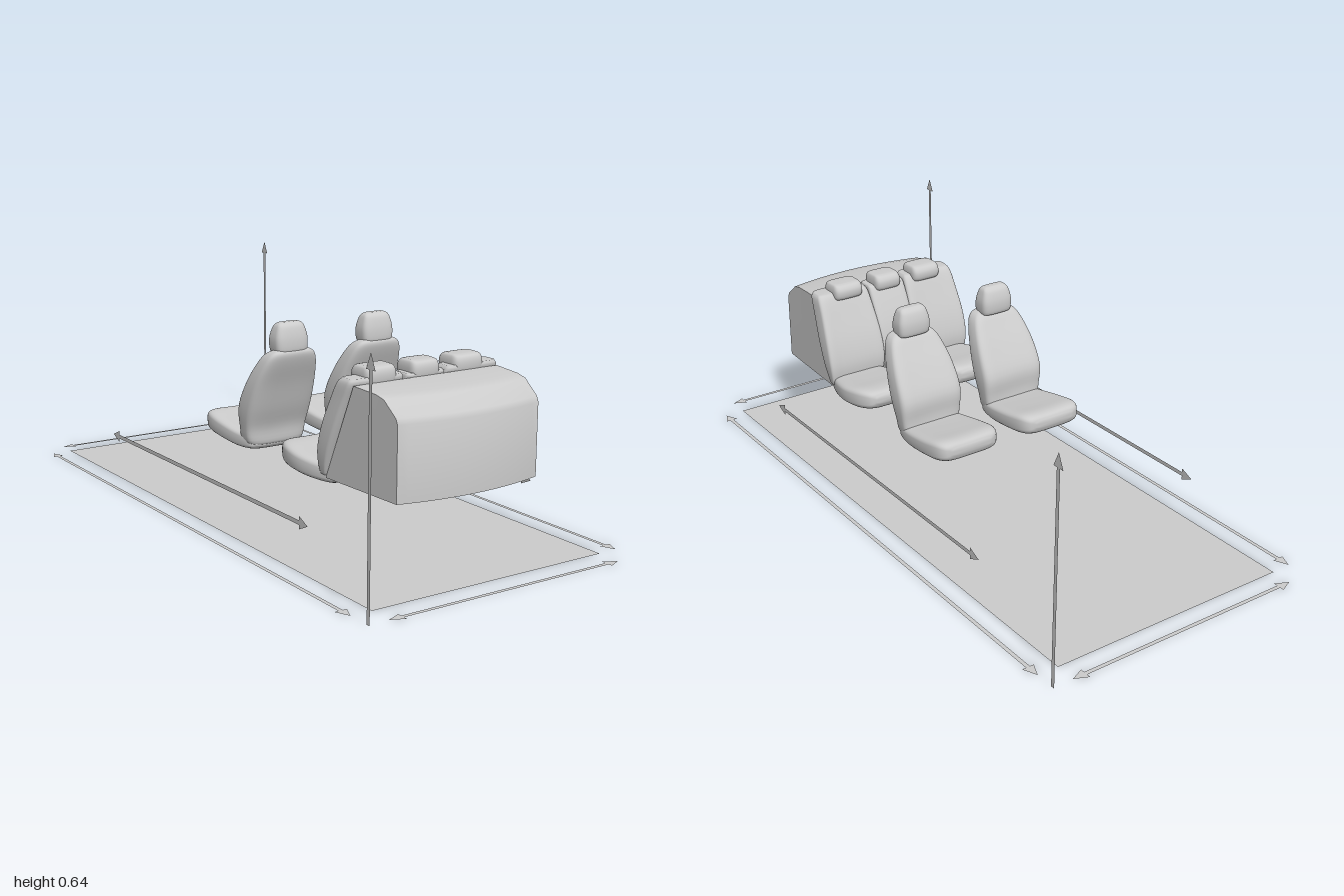
import * as THREE from 'three';
import { toCreasedNormals } from 'three/addons/utils/BufferGeometryUtils.js';

const mat = new THREE.MeshStandardMaterial({ color: 0xcccccc });
const thin = new THREE.MeshStandardMaterial({ color: 0xcccccc, side: THREE.DoubleSide });

function mesh(name, geometry, material = mat) {
  const m = new THREE.Mesh(geometry, material);
  m.name = name;
  return m;
}

// Closed skin over equal-sized rings of [x, y, z], capped at both ends
function loft(rings) {
  const n = rings[0].length, last = rings.length - 1;
  const pos = rings.flat(2), idx = [];
  for (const r of [rings[0], rings[last]])
    for (let k = 0; k < 3; k++) pos.push(r.reduce((s, p) => s + p[k], 0) / n);
  const c0 = rings.length * n, c1 = c0 + 1;
  for (let i = 0; i < n; i++) {
    const j = (i + 1) % n;
    for (let r = 0; r < last; r++) {
      const a = r * n, b = a + n;
      idx.push(a + i, b + i, a + j, a + j, b + i, b + j);
    }
    idx.push(c0, i, j, c1, last * n + j, last * n + i);
  }
  const g = new THREE.BufferGeometry();
  g.setAttribute('position', new THREE.Float32BufferAttribute(pos, 3));
  g.setIndex(idx);
  g.computeVertexNormals();
  return g;
}

// Upholstered pad from rows [position, low, high, halfWidth].
// Upright pads run up y with low/high in z; flat pads run along -z with low/high in y.
function pad(rows, { upright = true, power = 0.5, dish = 0 } = {}) {
  const path = new THREE.CatmullRomCurve3(rows.map(r => new THREE.Vector3(r[0], r[1], r[2])), false, 'catmullrom', 0.5);
  const wide = new THREE.CatmullRomCurve3(rows.map(r => new THREE.Vector3(r[3], 0, 0)), false, 'catmullrom', 0.5);
  const steps = (rows.length - 1) * 4, n = 40, rings = [];
  const soft = v => Math.sign(v) * Math.abs(v) ** power;
  for (let s = 0; s <= steps; s++) {
    const p = path.getPoint(s / steps), hw = wide.getPoint(s / steps).x;
    const mid = (p.y + p.z) / 2, half = (p.z - p.y) / 2;
    const sink = dish * Math.sin(Math.PI * s / steps);
    rings.push(Array.from({ length: n }, (_, i) => {
      const a = i / n * Math.PI * 2, u = soft(Math.cos(a)), v = soft(Math.sin(a));
      const hollow = sink * (1 - u * u) * (upright ? Math.max(0, -v) : -Math.max(0, v));
      const w = mid + half * v + hollow;
      return upright ? [u * hw, p.x, w] : [u * hw, w, p.x];
    }));
  }
  return loft(rings);
}

function frontSeat() {
  const seat = new THREE.Group();
  seat.add(
    mesh('seatCushion', pad([[.075, .205, .225, .07], [.06, .193, .24, .09], [0, .19, .25, .102], [-.08, .197, .264, .107],
      [-.14, .203, .274, .103], [-.17, .213, .268, .088], [-.18, .232, .25, .062]], { upright: false, dish: .008 })),
    mesh('seatBack', pad([[.205, .035, .07, .06], [.215, .015, .08, .09], [.26, .012, .086, .1], [.32, .01, .11, .105],
      [.39, .045, .135, .1], [.45, .085, .16, .086], [.48, .11, .168, .07], [.493, .135, .16, .045]], { dish: .014 })),
    mesh('headrest', pad([[.478, .115, .155, .042], [.487, .102, .165, .05], [.52, .1, .165, .052], [.55, .108, .158, .045],
      [.562, .118, .15, .038], [.566, .125, .142, .028]])));
  return seat;
}

function rearHeadrest(hw) {
  return mesh('rearHeadrest', pad([[.462, .51, .56, hw * .8], [.472, .49, .57, hw * .97], [.495, .486, .572, hw],
    [.511, .495, .566, hw * .92], [.516, .51, .55, hw * .75]], { power: .4 }));
}

// Flat arrow along +x, centred, with one or two heads
function arrow(name, length, doubleHeaded) {
  const h = length / 2, w = .006, hw = .018, hl = .04;
  const tail = doubleHeaded ? [[-h + hl, -w], [-h + hl, -hw], [-h, 0], [-h + hl, hw], [-h + hl, w]] : [[-h, -w], [-h, w]];
  const pts = [[h - hl, w], [h - hl, hw], [h, 0], [h - hl, -hw], [h - hl, -w], ...tail];
  return mesh(name, new THREE.ShapeGeometry(new THREE.Shape(pts.map(p => new THREE.Vector2(...p)))), thin);
}

export function createModel() {
  const model = new THREE.Group();
  model.name = 'cabinLayout';

  // Floor
  const floor = mesh('floor', new THREE.PlaneGeometry(.74, 1.715).rotateX(-Math.PI / 2), thin);
  floor.position.z = -.012;
  model.add(floor);

  // Luggage box with bowed rear face
  const profile = [[.455, .21], [.775, .21], [.775, .41], [.768, .425], [.72, .463], [.69, .47], [.57, .475]];
  const rings = [];
  for (let i = 0; i <= 16; i++) {
    const u = i / 8 - 1;
    rings.push(profile.map(([z, y]) => {
      const f = (z - .455) / .32;
      return [u * (.238 - .012 * f), y, z - (z > .6 ? .03 * u * u : 0)];
    }));
  }
  model.add(mesh('luggageBox', toCreasedNormals(loft(rings), .5)));

  for (const s of [-1, 1]) {
    const side = s > 0 ? 'left' : 'right';

    // Front seats
    const seat = frontSeat();
    seat.name = side + 'FrontSeat';
    seat.position.x = s * .146;
    model.add(seat);

    // Outer places of the rear bench
    const outer = new THREE.Group();
    outer.name = side + 'RearSeat';
    outer.add(
      mesh('rearCushion', pad([[.475, .2, .225, .065], [.455, .19, .245, .08], [.4, .19, .255, .098], [.34, .195, .264, .107],
        [.28, .2, .272, .1], [.24, .21, .268, .08], [.226, .23, .25, .055]], { upright: false, dish: .008 })),
      mesh('rearBack', pad([[.215, .44, .455, .08], [.225, .43, .462, .09], [.28, .424, .485, .098], [.35, .44, .515, .098],
        [.43, .474, .549, .092], [.475, .498, .568, .088], [.49, .515, .566, .08]], { power: .35, dish: .012 })));
    outer.position.x = s * .155;
    const rest = rearHeadrest(.049);
    rest.position.x = -s * .013;
    outer.add(rest);
    model.add(outer);

    // Length and wheelbase arrows
    const len = arrow('lengthArrow', 1.71, true);
    len.rotation.set(-Math.PI / 2, 0, Math.PI / 2);
    len.position.set(s * .43, 0, -.012);
    const base = arrow('wheelbaseArrow', 1.1, true);
    base.rotation.y = Math.PI / 2;
    base.position.set(s * .37, .132, .02);

    // Width and height arrows
    const width = arrow('widthArrow', .74, true);
    width.rotation.x = -Math.PI / 2;
    width.position.set(0, 0, s > 0 ? .913 : -.928);
    const height = arrow('heightArrow', .64, false);
    height.rotation.set(0, Math.PI / 2, Math.PI / 2, 'YXZ');
    height.position.set(s * .43, .32, s > 0 ? -.926 : .914);
    model.add(len, base, width, height);
  }

  // Middle place of the rear bench
  const middle = new THREE.Group();
  middle.name = 'middleRearSeat';
  middle.add(
    mesh('middleCushion', pad([[.46, .21, .25, .052], [.44, .207, .255, .058], [.3, .207, .265, .058], [.245, .21, .264, .057],
      [.23, .225, .25, .052]], { upright: false, power: .3 })),
    mesh('middleBack', pad([[.215, .44, .455, .055], [.23, .432, .465, .062], [.35, .446, .515, .064], [.465, .495, .565, .064],
      [.485, .512, .565, .06]], { power: .3 })),
    rearHeadrest(.045));
  model.add(middle);

  return model;
}
